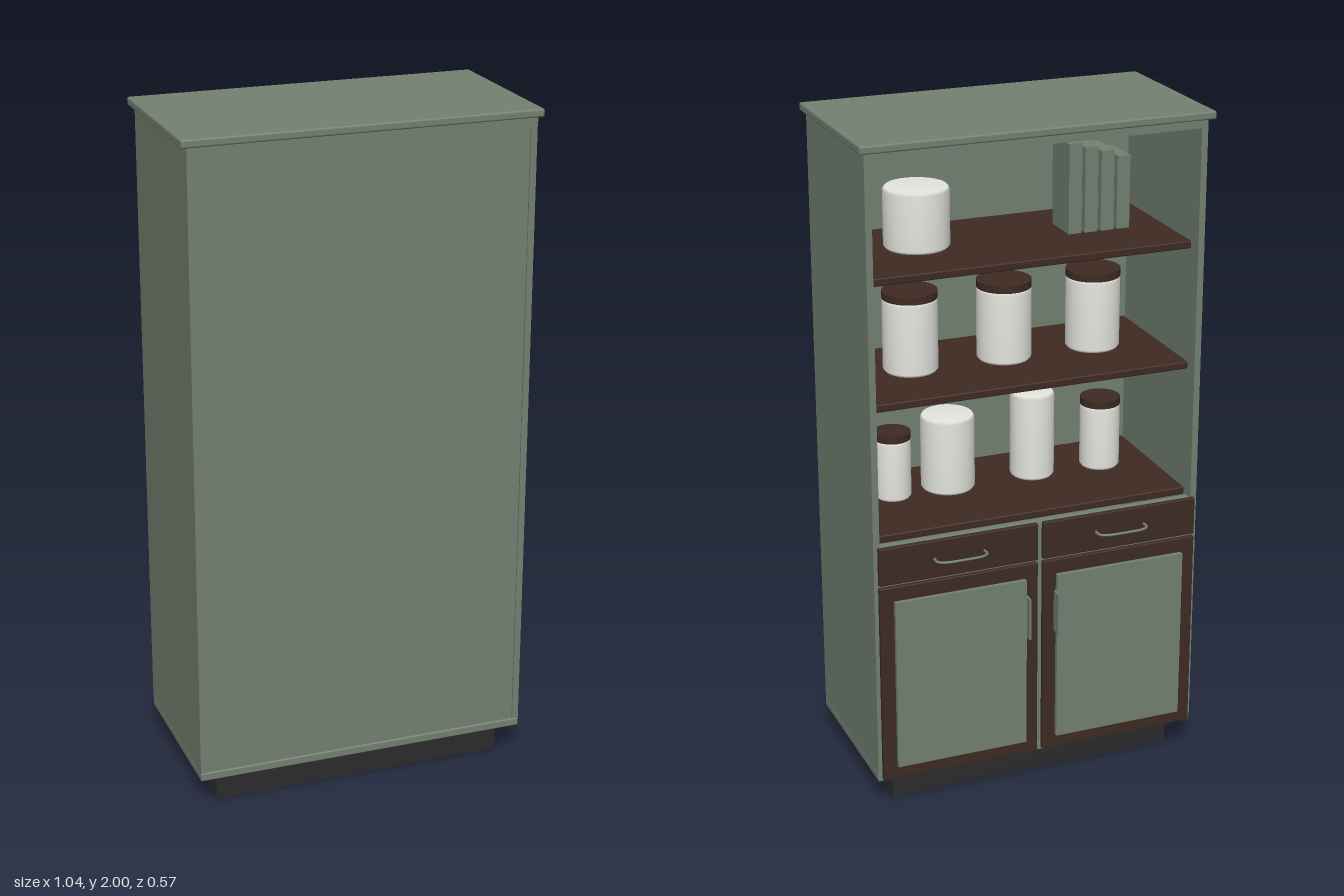
import * as THREE from 'three';
import { RoundedBoxGeometry } from 'three/addons/geometries/RoundedBoxGeometry.js';

const material = (name, color) => {
  const m = new THREE.MeshStandardMaterial({ color });
  m.name = name;
  return m;
};

export function createModel() {
  const green = material('sage green', 0x738071);
  const brown = material('dark walnut', 0x3d2a22);
  const black = material('plinth black', 0x2b2b2b);
  const white = material('ceramic white', 0xe6e6e0);
  const root = new THREE.Group();
  root.name = 'cabinet';

  const add = (name, geometry, mat, parent = root) => {
    const mesh = new THREE.Mesh(geometry, mat);
    mesh.name = name;
    parent.add(mesh);
    return mesh;
  };
  // Box given by its limits on each axis, with optionally rounded edges
  const box = (name, mat, [x0, x1], [y0, y1], [z0, z1], r = 0) => {
    const size = [x1 - x0, y1 - y0, z1 - z0];
    const g = r ? new RoundedBoxGeometry(...size, 2, r) : new THREE.BoxGeometry(...size);
    g.translate((x0 + x1) / 2, (y0 + y1) / 2, (z0 + z1) / 2);
    return add(name, g, mat);
  };
  // Limits mirrored to the other side
  const flip = ([a, b], s) => (s > 0 ? [a, b] : [-b, -a]);

  // Carcass; the open side faces -z
  box('plinth', black, [-0.445, 0.445], [0, 0.09], [-0.18, 0.235]);
  box('bottomBoard', green, [-0.503, 0.503], [0.09, 0.115], [-0.23, 0.277], 0.004);
  box('topBoard', green, [-0.503, 0.503], [1.95, 1.976], [-0.23, 0.277]);
  box('cornice', green, [-0.52, 0.52], [1.976, 2], [-0.248, 0.285], 0.006);
  box('backPanel', green, [-0.484, 0.484], [0.115, 1.95], [0.25, 0.27]);
  box('frontRail', green, [-0.484, 0.484], [0.115, 0.835], [-0.23, -0.2]);
  for (const s of [1, -1]) box('sidePanel', green, flip([0.484, 0.503], s), [0.115, 1.95], [-0.23, 0.275]);

  // Shelves
  const shelfTops = [0.858, 1.253, 1.617];
  for (const y of shelfTops) box('shelf', brown, [-0.48, 0.48], [y - 0.023, y], [-0.195, 0.25], 0.004);

  // Doors, drawers and handles
  for (const s of [1, -1]) {
    box('doorFrame', brown, flip([0.008, 0.492], s), [0.1, 0.717], [-0.245, -0.23], 0.003);
    box('doorPanel', green, flip([0.048, 0.45], s), [0.143, 0.673], [-0.258, -0.244]);
    box('doorHandle', green, flip([0.042, 0.048], s), [0.49, 0.62], [-0.279, -0.244]);
    box('drawerFront', brown, flip([0.008, 0.492], s), [0.725, 0.84], [-0.245, -0.23], 0.003);
    const path = new THREE.CatmullRomCurve3(
      [[-0.076, -0.243], [-0.076, -0.268], [-0.06, -0.28], [0, -0.284], [0.06, -0.28], [0.076, -0.268], [0.076, -0.243]]
        .map(([x, z]) => new THREE.Vector3(x + s * 0.25, 0.785, z)));
    add('drawerHandle', new THREE.TubeGeometry(path, 32, 0.004, 8), green);
  }

  // Jars: shelf, x, z, radius, height, lid
  const jars = [
    [0, 0.34, 0.065, 0.054, 0.205, true],
    [0, 0.165, 0.075, 0.08, 0.23, false],
    [0, -0.103, 0.073, 0.066, 0.265, false],
    [0, -0.32, 0.065, 0.06, 0.22, true],
    [1, 0.286, 0.045, 0.08, 0.24, true],
    [1, 0, 0.04, 0.08, 0.24, true],
    [1, -0.28, 0.04, 0.08, 0.24, true],
    [2, 0.26, 0.05, 0.095, 0.175, false],
  ];
  for (const [shelf, x, z, r, h, lid] of jars) {
    const jar = new THREE.Group();
    jar.name = 'jar';
    jar.position.set(x, shelfTops[shelf], z);
    const top = lid ? h - 0.022 : h;
    const profile = [[0, 0], [r - 0.006, 0], [r, 0.008], [r, top - 0.008], [r - 0.006, top], [0, top]];
    add('jarBody', new THREE.LatheGeometry(profile.map((p) => new THREE.Vector2(...p)), 32), white, jar);
    if (lid) add('jarLid', new THREE.CylinderGeometry(r, r, 0.022, 32), brown, jar).position.y = h - 0.011;
    root.add(jar);
  }

  // Row of books on the top shelf
  [0.265, 0.25, 0.235, 0.215].forEach((h, i) => {
    const x = -0.18 - i * 0.05;
    box('book', green, [x - 0.04, x], [shelfTops[2], shelfTops[2] + h], [-0.01, 0.11]);
  });
  return root;
}
